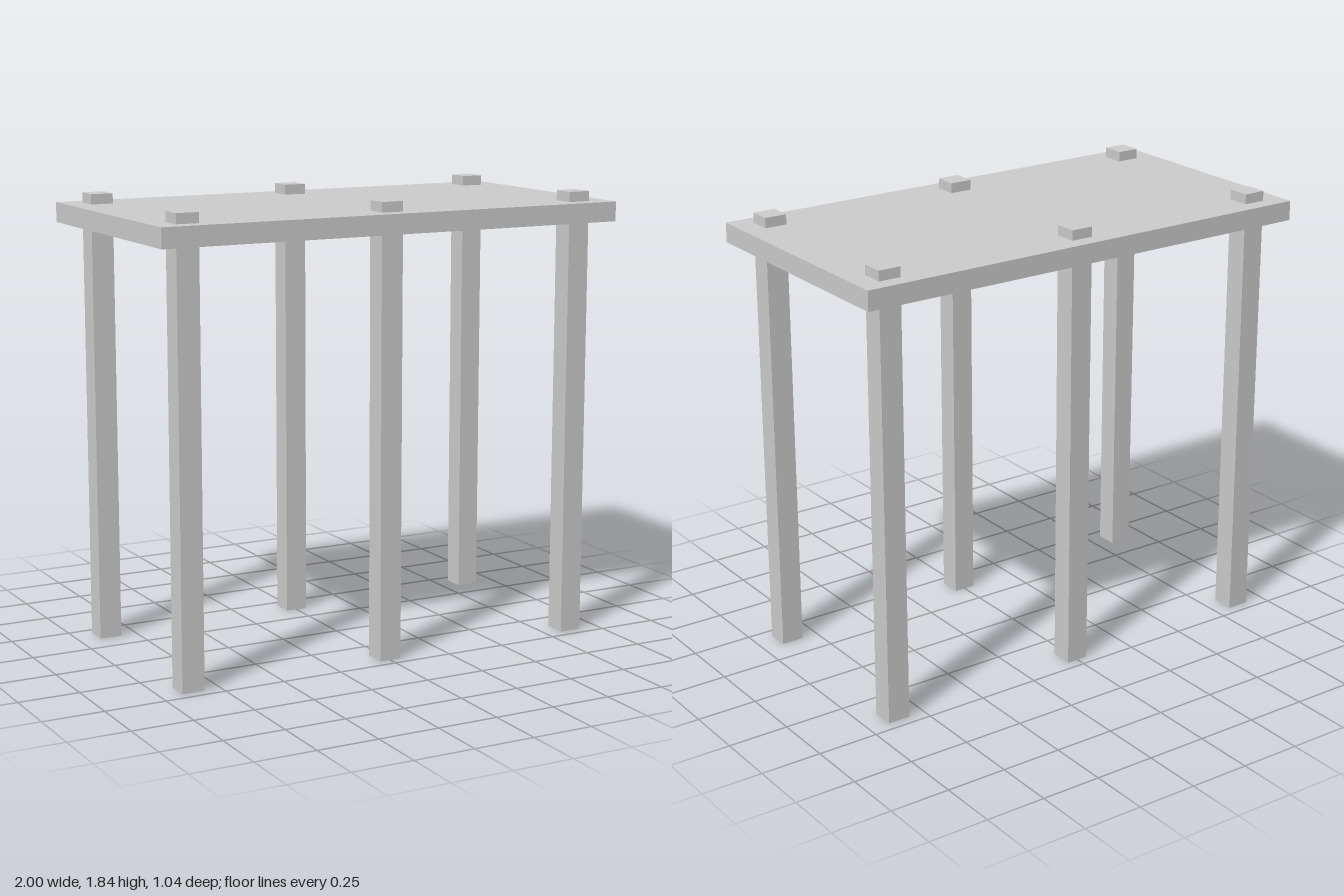
import * as THREE from 'three';

const material = new THREE.MeshStandardMaterial({ color: 0xcccccc, flatShading: true });

// Box resting on a given height
function addBox(parent, name, [w, h, d], [x, bottom, z]) {
  const mesh = new THREE.Mesh(new THREE.BoxGeometry(w, h, d), material);
  mesh.name = name;
  mesh.position.set(x, bottom + h / 2, z);
  parent.add(mesh);
}

export function createModel() {
  const model = new THREE.Group();
  model.name = 'table';

  // Flat slab across the posts
  addBox(model, 'tabletop', [2, 0.08, 1.044], [0, 1.717, 0]);

  // Six square posts, each passing through the slab and ending just above it
  const columns = { Right: -0.866, Middle: 0, Left: 0.866 };
  const rows = { front: 0.41, back: -0.41 };
  for (const [row, z] of Object.entries(rows)) {
    for (const [column, x] of Object.entries(columns)) {
      addBox(model, `${row}${column}Leg`, [0.093, 1.838, 0.093], [x, 0, z]);
    }
  }

  return model;
}
